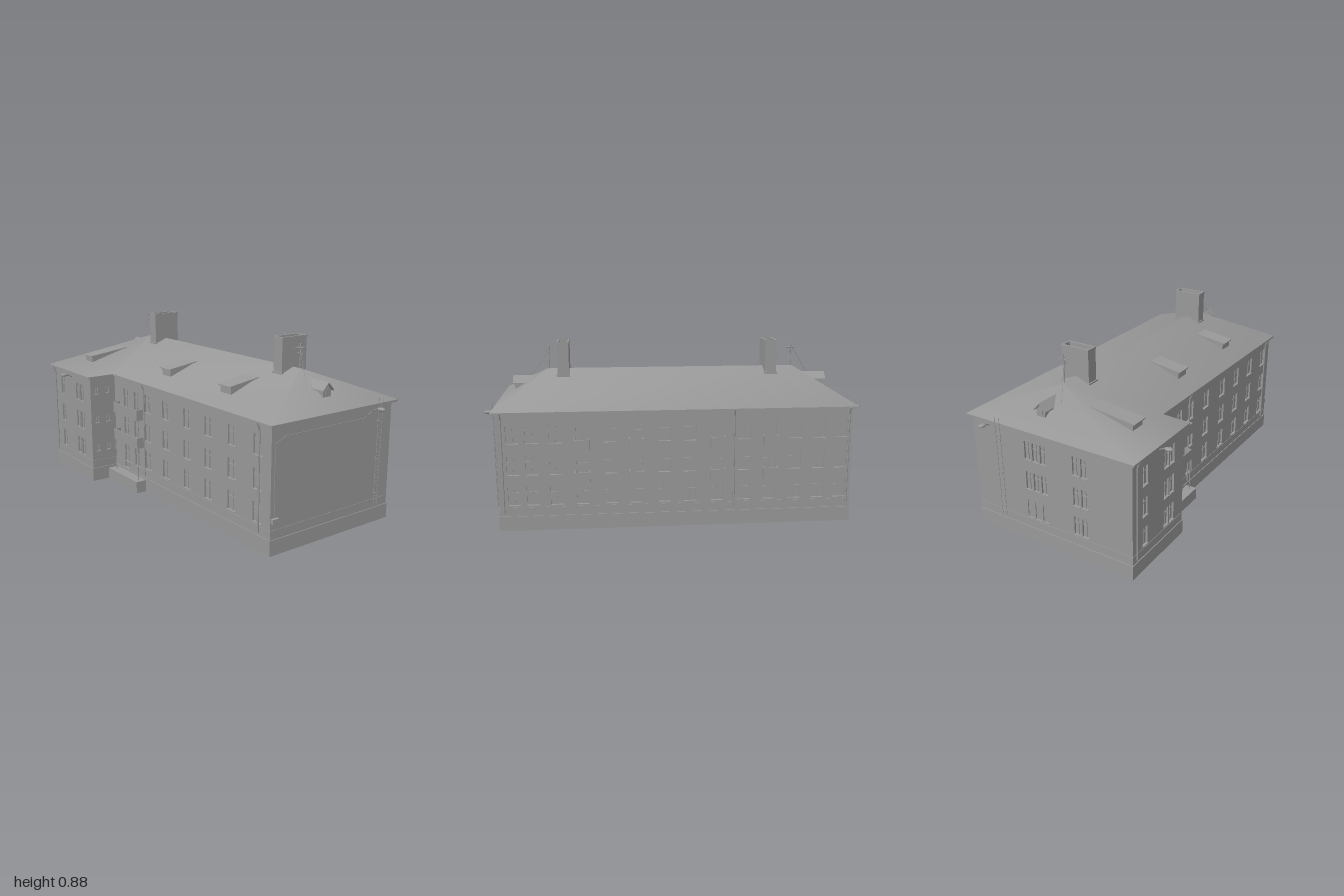
import * as THREE from 'three';
import { toCreasedNormals } from 'three/addons/utils/BufferGeometryUtils.js';

const mat = new THREE.MeshStandardMaterial({ color: 0x999999, side: THREE.DoubleSide });
const EAVE = 0.585, RIDGE = 0.74, WALL_IN = 0.021;
const ROWS = [0.126, 0.277, 0.432], WIN_H = 0.093;

function add(parent, name, geo, x = 0, y = 0, z = 0) {
  const m = new THREE.Mesh(geo, mat);
  m.name = name;
  m.position.set(x, y, z);
  parent.add(m);
  return m;
}
const box = (parent, name, w, h, d, x, y, z) => add(parent, name, new THREE.BoxGeometry(w, h, d), x, y, z);

// straight round bar between two points
function rod(parent, name, a, b, r = 0.003) {
  const A = new THREE.Vector3(...a), B = new THREE.Vector3(...b), dir = B.clone().sub(A);
  const m = add(parent, name, new THREE.CylinderGeometry(r, r, dir.length(), 6));
  m.position.copy(A).addScaledVector(dir, 0.5);
  m.quaternion.setFromUnitVectors(new THREE.Vector3(0, 1, 0), dir.normalize());
}

const shapeOf = pts => new THREE.Shape(pts.map(p => new THREE.Vector2(...p)));
const extrude = (shape, depth) => new THREE.ExtrudeGeometry(shape, { depth, bevelEnabled: false });

// L-shaped plan [x, z], moved inward from the eaves by o
const plan = o => [
  [-0.856 + o, 0.521 - o], [-0.384 - o, 0.521 - o], [-0.384 - o, 0.372 - o],
  [0.915 - o, 0.372 - o], [0.915 - o, -0.408 + o], [-0.856 + o, -0.408 + o]];

// horizontal band following the plan
function band(parent, name, outer, inner, y, h) {
  const s = shapeOf(plan(outer).map(([x, z]) => [x, -z]));
  s.holes.push(new THREE.Path(plan(inner).map(([x, z]) => new THREE.Vector2(x, -z))));
  add(parent, name, extrude(s, h).rotateX(-Math.PI / 2), 0, y, 0);
}

// wall with window openings; windows are [distance along wall, width, sill, height]
function wall(parent, name, a, b, windows) {
  const g = new THREE.Group(), dx = b[0] - a[0], dz = b[1] - a[1], len = Math.hypot(dx, dz);
  g.name = name;
  g.position.set(a[0], 0, a[1]);
  g.rotation.y = Math.atan2(-dz, dx);
  const s = shapeOf([[0, 0.06], [len, 0.06], [len, EAVE], [0, EAVE]]);
  for (const [t, w, y, h] of windows) {
    const l = t - w / 2, r = t + w / 2;
    s.holes.push(new THREE.Path([[l, y], [l, y + h], [r, y + h], [r, y]].map(p => new THREE.Vector2(...p))));
    box(g, 'windowPane', w, h, 0.001, t, y + h / 2, -0.01);
    box(g, 'windowMullion', 0.004, h, 0.004, t, y + h / 2, -0.008);
    if (h > 0.06) box(g, 'windowTransom', w, 0.004, 0.004, t, y + h * 0.68, -0.008);
    box(g, 'windowSill', w + 0.004, 0.003, 0.006, t, y - 0.0015, 0.001);
  }
  add(g, name + 'Panel', extrude(s, 0.012), 0, 0, -0.012);
  parent.add(g);
  return g;
}

function balcony(parent, t, y, w, d, h) {
  box(parent, 'balconyFloor', w, 0.006, d, t, y, d / 2);
  box(parent, 'balconyFront', w, h, 0.004, t, y + h / 2, d - 0.002);
  for (const s of [-1, 1]) box(parent, 'balconySide', 0.004, h, d, t + s * (w / 2 - 0.002), y + h / 2, d / 2);
}

function downpipe(parent, t) {
  rod(parent, 'downpipe', [t, 0.09, 0.008], [t, 0.55, 0.008], 0.004);
  rod(parent, 'downpipeNeck', [t, 0.55, 0.008], [t, 0.582, 0.02], 0.004);
}

function ladder(parent, t) {
  for (const s of [-1, 1]) rod(parent, 'ladderRail', [t + s * 0.013, 0.09, 0.018], [t + s * 0.013, 0.615, 0.022], 0.0014);
  for (let y = 0.1; y < 0.58; y += 0.018) rod(parent, 'ladderRung', [t - 0.013, y, 0.018], [t + 0.013, y, 0.018], 0.0012);
  for (const y of [0.15, 0.32, 0.5]) rod(parent, 'ladderBracket', [t, y, 0], [t, y, 0.018], 0.002);
}

function lamp(parent, t) {
  rod(parent, 'lampArm', [t, 0.55, 0], [t, 0.567, 0.03], 0.003);
  add(parent, 'lampHead', new THREE.SphereGeometry(0.017, 10, 6).scale(0.9, 0.5, 1.3), t, 0.565, 0.046);
}

// lean-to roof dormer, back at (z0, y0), front at z1 from yb to yt
function shedDormer(parent, x, z0, y0, z1, yb, yt) {
  const w = 0.09, turn = g => g.rotateY(-Math.PI / 2);
  add(parent, 'shedDormerBody', turn(extrude(shapeOf([[z0, y0], [z1 - 0.012, yb - 0.01], [z1 - 0.012, yt]]), w - 0.012)), x + w / 2 - 0.006);
  add(parent, 'shedDormerRoof', turn(extrude(shapeOf([[z0, y0], [z1, yt], [z1, yt + 0.005], [z0, y0 + 0.005]]), w)), x + w / 2);
}

export function createModel() {
  const model = new THREE.Group(), house = new THREE.Group();
  house.name = 'apartmentBlock';
  house.rotation.y = -Math.PI / 6;
  model.add(house);

  // plinth, string course and eaves
  band(house, 'plinth', 0.017, 0.033, 0, 0.072);
  band(house, 'stringCourse', 0.019, 0.03, 0.112, 0.004);
  band(house, 'eaves', 0.001, 0.034, 0.577, 0.01);

  // walls
  const [F, E, D, C, B, A] = plan(WALL_IN);
  const grid = (start, cols, w) => cols.flatMap(c => ROWS.map(y => [Math.abs(c - start), w, y, WIN_H]));
  const wingFront = wall(house, 'wingFrontWall', F, E, grid(F[0], [-0.735, -0.555, -0.507], 0.04));
  wall(house, 'wingSideWall', E, D, [0.035, 0.1].flatMap(t => [0.165, 0.325, 0.485].map(y => [t, 0.022, y, 0.036])));
  const front = wall(house, 'frontWall', D, C, [
    ...grid(D[0], [-0.07, 0.098, 0.283, 0.455, 0.63, 0.807], 0.06),
    ...[0.08, 0.24, 0.39].flatMap(y => [[0.12, 0.05, y, 0.13], [0.225, 0.05, y + 0.03, 0.1]])]);
  const rightEnd = wall(house, 'rightEndWall', C, B, []);
  const backCols = [0.82, 0.73, 0.616, 0.49, 0.352, 0.23, 0.096, -0.03, -0.164, -0.298, -0.424, -0.55, -0.67, -0.78];
  const balconyCols = [0.49, 0.23, -0.164, -0.424];
  const back = wall(house, 'backWall', B, A, backCols.flatMap(c => ROWS.map((y, i) => {
    const drop = i > 0 && balconyCols.includes(c) ? 0.03 : 0;
    return [B[0] - c, 0.06, y - drop, WIN_H + drop];
  })));
  const leftEnd = wall(house, 'leftEndWall', A, F, grid(A[1], [-0.065, -0.02, 0.025, 0.205, 0.25], 0.036));

  // back balconies
  for (const c of balconyCols) for (const y of [0.24, 0.4]) balcony(back, B[0] - c, y, 0.07, 0.042, 0.054);

  // entrance porch with stacked balconies
  box(house, 'porchBase', 0.295, 0.062, 0.065, -0.242, 0.031, 0.38);
  for (const y of [0.238, 0.388]) balcony(front, 0.17, y, 0.24, 0.04, 0.054);
  for (const t of [0.055, 0.285]) rod(front, 'porchPost', [t, 0.06, 0.034], [t, 0.24, 0.034], 0.003);

  // downpipes, ladders, lamps and conduit
  [[wingFront, 0.025], [front, 0.31], [front, 1.23], [back, 0.025], [back, 1.14], [back, 1.71]].forEach(p => downpipe(...p));
  ladder(rightEnd, 0.64);
  ladder(leftEnd, 0.17);
  [[wingFront, 0.215], [rightEnd, 0.615], [leftEnd, 0.1]].forEach(p => lamp(...p));
  const conduit = [[0.02, 0.16], [0.02, 0.5], [0.08, 0.525], [0.56, 0.525], [0.6, 0.55]];
  for (let i = 0; i < 4; i++) rod(rightEnd, 'conduit', [...conduit[i], 0.002], [...conduit[i + 1], 0.002], 0.0015);
  box(rightEnd, 'meterBox', 0.035, 0.022, 0.016, 0.02, 0.16, 0.008);

  // hipped roof: all slopes of the wing meet at the left ridge end; hips shaded softly, ridge sharp
  const [f, e, d, c, b, a] = plan(0).map(([x, z]) => [x, EAVE + 0.003, z]);
  const L = [-0.61, RIDGE, -0.02], R = [0.665, RIDGE, -0.02];
  const roof = new THREE.BufferGeometry();
  const tris = [f, e, L, e, d, L, d, c, R, d, R, L, c, b, R, b, a, L, b, L, R, a, f, L];
  roof.setAttribute('position', new THREE.Float32BufferAttribute(tris.flat(), 3));
  add(house, 'roof', toCreasedNormals(roof, 0.72));

  // front dormers
  for (const x of [-0.015, 0.478]) shedDormer(house, x, 0.11, 0.687, 0.28, 0.622, 0.662);
  shedDormer(house, -0.62, 0.17, 0.684, 0.4, 0.621, 0.655);

  for (const s of [-1, 1]) {
    const at = (p, len = 0) => 0.028 + s * p - (s < 0 ? len : 0);
    // gabled end dormer
    const body = shapeOf([[-0.024, 0.62], [0.024, 0.62], [0.024, 0.67], [0, 0.698], [-0.024, 0.67]]);
    const cap = shapeOf([[-0.034, 0.664], [0, 0.7], [0.034, 0.664], [0.034, 0.67], [0, 0.706], [-0.034, 0.67]]);
    add(house, 'gableDormerBody', extrude(body, 0.1).rotateY(Math.PI / 2), at(0.705, 0.1), 0, -0.022);
    add(house, 'gableDormerRoof', extrude(cap, 0.125).rotateY(Math.PI / 2), at(0.69, 0.125), 0, -0.022);
    box(house, 'gableDormerVent', 0.004, 0.026, 0.024, at(0.806), 0.662, -0.022);

    // hollow chimney with flashing and cap
    const cx = s < 0 ? -0.481 : 0.584;
    const tube = (name, w, l, y, h) => {
      const rect = (hw, hl) => [[-hw, -hl], [hw, -hl], [hw, hl], [-hw, hl]];
      const sh = shapeOf(rect(w / 2, l / 2));
      sh.holes.push(new THREE.Path(rect(0.022, 0.068).map(p => new THREE.Vector2(...p))));
      add(house, name, extrude(sh, h).rotateX(-Math.PI / 2), cx, y, -0.025);
    };
    tube('chimney', 0.058, 0.15, 0.68, 0.19);
    tube('chimneyCap', 0.062, 0.154, 0.87, 0.012);
    tube('chimneyFlashing', 0.066, 0.162, 0.7, 0.018);

    // aerial with crossbars and a stay wire
    const ax = at(0.63), top = s < 0 ? 0.88 : 0.855;
    rod(house, 'aerialMast', [ax, 0.72, -0.02], [ax, top, -0.02], 0.003);
    for (const drop of [0.02, 0.045]) rod(house, 'aerialBoom', [ax - 0.02, top - drop, -0.02], [ax + 0.02, top - drop, -0.02], 0.002);
    for (const k of [-0.016, 0, 0.016]) rod(house, 'aerialBar', [ax + k, top - 0.02, -0.045], [ax + k, top - 0.02, 0.005], 0.0018);
    rod(house, 'stayWire', [ax, top - 0.03, -0.02], [at(0.75), 0.67, 0.05], 0.001);
  }

  // rooms behind the ground floor windows
  for (const [x, z, w, dep] of [[0.73, 0.24, 0.3, 0.19], [0.2, 0.24, 0.34, 0.19], [-0.63, 0.37, 0.33, 0.19], [-0.745, -0.02, 0.17, 0.24]])
    box(house, 'groundFloorRoom', w, 0.16, dep, x, 0.19, z);

  return model;
}
